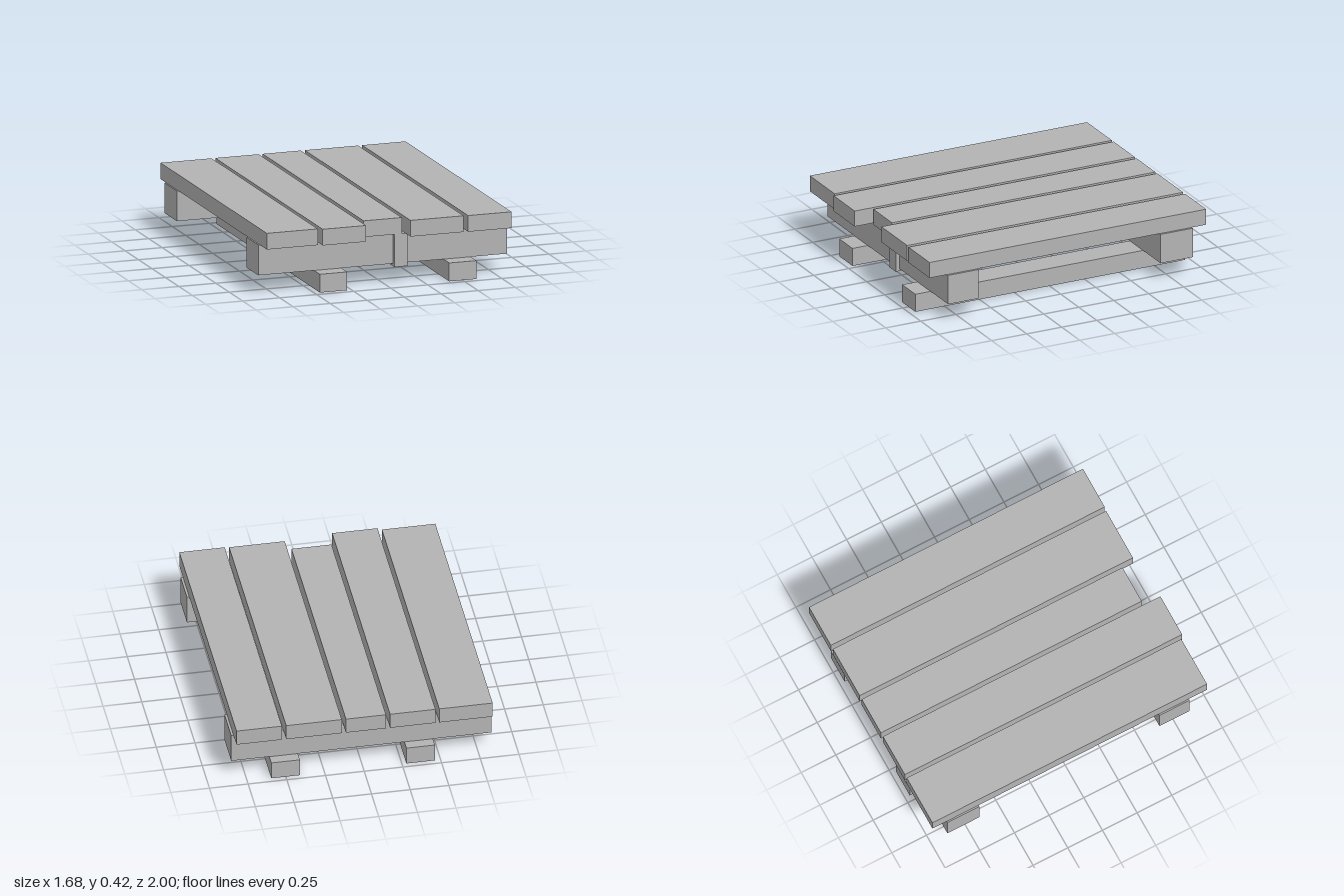
import * as THREE from 'three';

export function createModel() {
  const model = new THREE.Group();
  model.name = 'pallet';
  const wood = new THREE.MeshStandardMaterial({ color: 0xb3b3b3 });
  wood.name = 'grey wood';

  // Adds a box given by its extents along each axis
  const addBox = (name, [x0, x1], [y0, y1], [z0, z1]) => {
    const mesh = new THREE.Mesh(new THREE.BoxGeometry(x1 - x0, y1 - y0, z1 - z0), wood);
    mesh.position.set((x0 + x1) / 2, (y0 + y1) / 2, (z0 + z1) / 2);
    mesh.name = name;
    model.add(mesh);
  };

  // Deck planks with uneven widths and front ends: left edge, right edge, front end
  const planks = [
    [-0.83, -0.485, 0.98],
    [-0.46, -0.167, 1.0],
    [-0.14, 0.118, 0.88],
    [0.145, 0.504, 0.97],
    [0.532, 0.825, 0.975],
  ];
  planks.forEach(([x0, x1, front], i) =>
    addBox(`deckPlank${i + 1}`, [x0, x1], [0.318, 0.424], [-1, front]));

  // Cross beams under the deck
  addBox('frontBeam', [-0.84, 0.84], [0.12, 0.318], [0.632, 0.85]);
  addBox('backBeam', [-0.84, 0.84], [0.12, 0.318], [-0.897, -0.667]);

  // Runners on the ground
  addBox('rightRunner', [-0.463, -0.279], [0, 0.12], [-0.966, 0.958]);
  addBox('leftRunner', [0.41, 0.594], [0, 0.12], [-0.966, 0.958]);

  // Band around the front beam
  addBox('beamBand', [0.07, 0.16], [0.103, 0.318], [0.612, 0.875]);

  return model;
}
